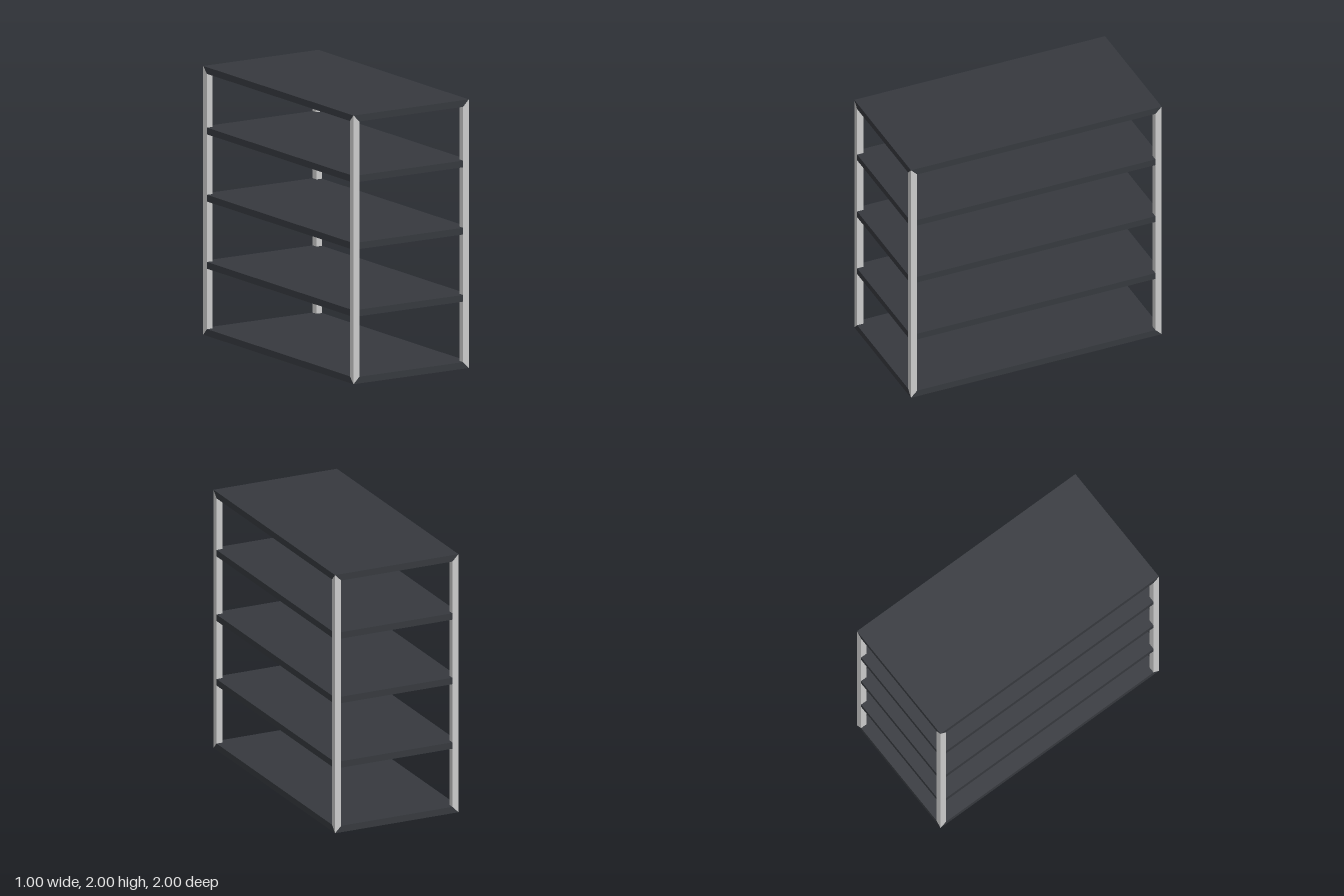
import * as THREE from 'three';

const W = 0.5, D = 1, H = 2, T = 0.05; // half width, half depth, height, thickness

// Board with its four corners notched to fit around the posts
function boardGeometry() {
  const w = W - T, d = D - T;
  const shape = new THREE.Shape([
    [w, -D], [w, -d], [W, -d], [W, d], [w, d], [w, D],
    [-w, D], [-w, d], [-W, d], [-W, -d], [-w, -d], [-w, -D],
  ].map(([x, y]) => new THREE.Vector2(x, y)));
  const g = new THREE.ExtrudeGeometry(shape, { depth: T, bevelEnabled: false });
  return g.rotateX(-Math.PI / 2);
}

// End board: its outer face spreads to full corners, giving mitred edges
function endBoardGeometry() {
  const g = boardGeometry(), p = g.attributes.position;
  for (let i = 0; i < p.count; i++) {
    if (p.getY(i) > T / 2) {
      p.setX(i, Math.sign(p.getX(i)) * W);
      p.setZ(i, Math.sign(p.getZ(i)) * D);
    }
  }
  g.computeVertexNormals();
  return g;
}

// Square post whose outer corner runs full height, the other edges stop at the boards
function postGeometry(sx, sz) {
  const g = new THREE.BoxGeometry(T, H, T).toNonIndexed(), p = g.attributes.position;
  for (let i = 0; i < p.count; i++) {
    const outer = p.getX(i) * sx > 0 && p.getZ(i) * sz > 0;
    if (!outer) p.setY(i, Math.sign(p.getY(i)) * (H / 2 - T));
  }
  g.computeVertexNormals();
  return g;
}

export function createModel() {
  const model = new THREE.Group();
  model.name = 'shelvingUnit';
  const dark = new THREE.MeshStandardMaterial({ color: 0x36393e });
  const grey = new THREE.MeshStandardMaterial({ color: 0xcccccc });
  const add = (name, geometry, material, x, y, z) => {
    const mesh = new THREE.Mesh(geometry, material);
    mesh.name = name;
    mesh.position.set(x, y, z);
    model.add(mesh);
    return mesh;
  };

  // Top and bottom boards
  const end = endBoardGeometry();
  add('topBoard', end, dark, 0, H - T, 0);
  add('bottomBoard', end, dark, 0, T, 0).rotation.x = Math.PI;

  // Inner shelves
  const shelf = boardGeometry();
  [0.5, 1, 1.5].forEach((y, i) => add('shelf' + (i + 1), shelf, dark, 0, y, 0));

  // Corner posts
  for (const sx of [-1, 1]) {
    for (const sz of [-1, 1]) {
      const name = (sz > 0 ? 'front' : 'back') + (sx > 0 ? 'Left' : 'Right') + 'Post';
      add(name, postGeometry(sx, sz), grey, sx * (W - T / 2), H / 2, sz * (D - T / 2));
    }
  }
  return model;
}
